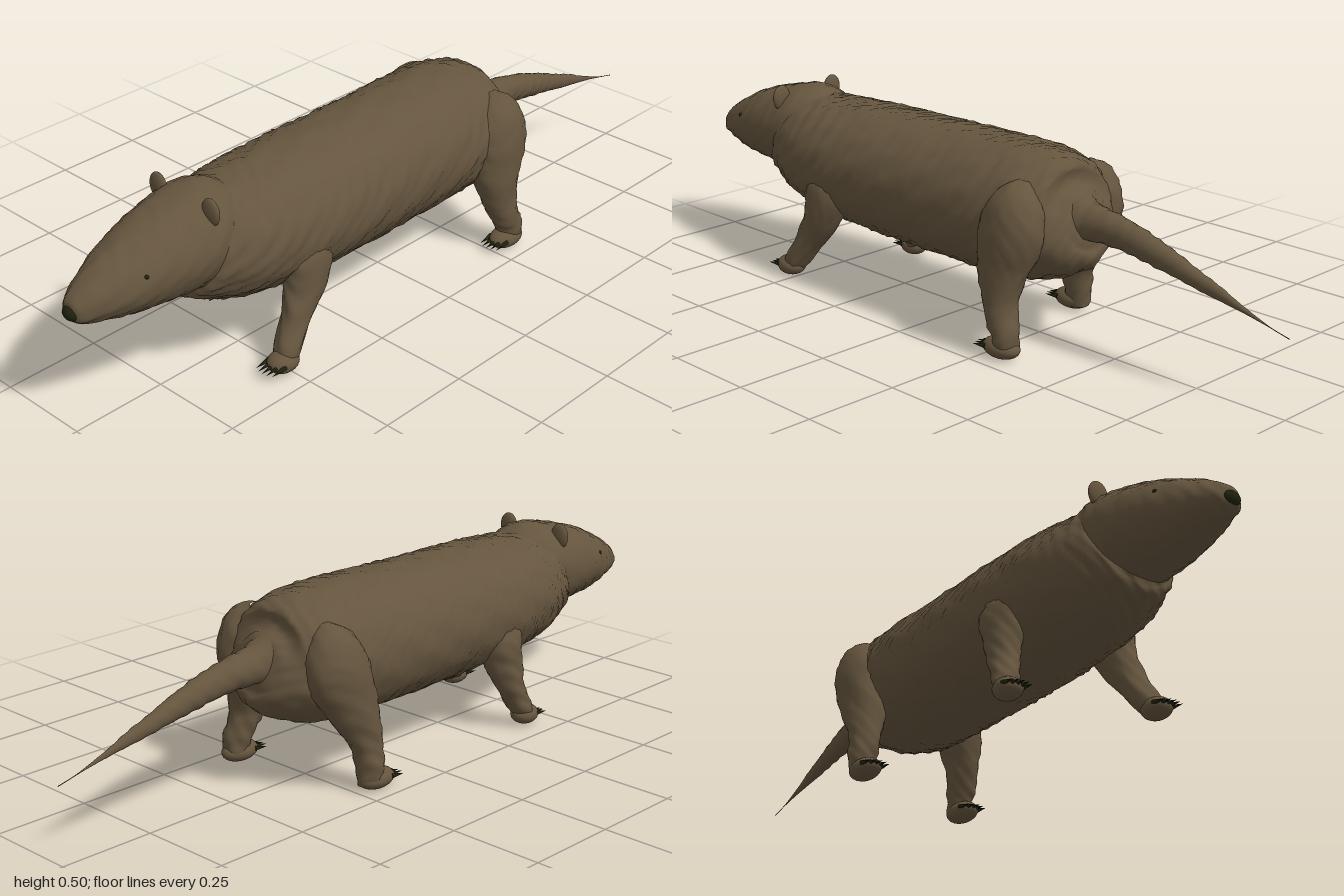
import * as THREE from 'three';

const fur = new THREE.MeshStandardMaterial({ color: 0x65553e });
fur.name = 'brown fur';
const horn = new THREE.MeshStandardMaterial({ color: 0x20220e });
horn.name = 'dark horn';

// Shaggy ripple, a smooth function of position
const ripple = (p) =>
  Math.sin(p.x * 71 + Math.sin(p.z * 47) * 2) * Math.sin(p.z * 83 + p.y * 59) * 0.6 +
  Math.sin(p.x * 133 + p.y * 151 + p.z * 117) * 0.4;

// Closed skin through elliptical rings [x, y, z, half width, half depth]
function loft(name, rings, steps, sides, rough) {
  const path = new THREE.CatmullRomCurve3(rings.map((r) => new THREE.Vector3(r[0], r[1], r[2])), false, 'catmullrom');
  const size = new THREE.CatmullRomCurve3(rings.map((r) => new THREE.Vector3(r[3], r[4], 0)), false, 'catmullrom');
  const pos = [], index = [];
  for (let i = 0; i <= steps; i++) {
    const t = i / steps;
    const c = path.getPoint(t), s = size.getPoint(t), dir = path.getTangent(t);
    const side = new THREE.Vector3(1, 0, 0).addScaledVector(dir, -dir.x).normalize();
    const up = new THREE.Vector3().crossVectors(dir, side);
    for (let j = 0; j < sides; j++) {
      const a = (j / sides) * Math.PI * 2;
      const out = side.clone().multiplyScalar(Math.cos(a) * Math.max(s.x, 0.001))
        .addScaledVector(up, Math.sin(a) * Math.max(s.y, 0.001));
      const p = c.clone().add(out);
      const bump = rough * ripple(p) * Math.min(1, out.length() / 0.03);
      p.addScaledVector(out.normalize(), bump);
      pos.push(p.x, p.y, p.z);
      if (i < steps) {
        const k = (j + 1) % sides, b = i * sides;
        index.push(b + j, b + k, b + sides + j, b + k, b + sides + k, b + sides + j);
      }
    }
  }
  const g = new THREE.BufferGeometry();
  g.setAttribute('position', new THREE.Float32BufferAttribute(pos, 3));
  g.setIndex(index);
  g.computeVertexNormals();
  const m = new THREE.Mesh(g, fur);
  m.name = name;
  return m;
}

function ellipsoid(name, mat, x, y, z, rx, ry, rz) {
  const m = new THREE.Mesh(new THREE.SphereGeometry(1, 24, 16), mat);
  m.name = name;
  m.position.set(x, y, z);
  m.scale.set(rx, ry, rz);
  return m;
}

// Leg skin, paw and five claws; the paw centre is [x, y, z]
function leg(name, rings, paw, halfLength) {
  const g = new THREE.Group();
  g.name = name;
  const [x, y, z] = paw;
  g.add(loft(name + 'Skin', rings, 36, 24, 0.004));
  g.add(ellipsoid(name + 'Paw', fur, x, y, z, 0.036, 0.027, halfLength));
  for (let i = -2; i <= 2; i++) {
    const claw = new THREE.Mesh(new THREE.ConeGeometry(0.007, 0.045, 8), horn);
    claw.name = name + 'Claw';
    claw.position.set(x + i * 0.0135, y, z + halfLength * (1 - 0.05 * i * i) + 0.006);
    claw.rotation.x = Math.PI / 2 + 0.12;
    g.add(claw);
  }
  return g;
}

export function createModel() {
  const model = new THREE.Group();
  model.name = 'animal';

  // Barrel body, from rump to chest
  model.add(loft('body', [
    [0, 0.34, -0.415, 0.001, 0.001],
    [0, 0.335, -0.4, 0.075, 0.07],
    [0, 0.325, -0.365, 0.135, 0.13],
    [0, 0.325, -0.29, 0.175, 0.163],
    [0, 0.323, -0.18, 0.184, 0.174],
    [0, 0.32, 0.02, 0.185, 0.173],
    [0, 0.32, 0.22, 0.187, 0.17],
    [0, 0.323, 0.4, 0.183, 0.164],
    [0, 0.33, 0.53, 0.168, 0.152],
    [0, 0.345, 0.61, 0.142, 0.138],
    [0, 0.355, 0.645, 0.115, 0.118],
    [0, 0.36, 0.65, 0.001, 0.001],
  ], 110, 64, 0.005));

  // Head tapering to the snout
  model.add(loft('head', [
    [0, 0.375, 0.52, 0.09, 0.09],
    [0, 0.377, 0.59, 0.122, 0.122],
    [0, 0.37, 0.66, 0.127, 0.12],
    [0, 0.362, 0.74, 0.118, 0.108],
    [0, 0.35, 0.82, 0.1, 0.092],
    [0, 0.337, 0.9, 0.073, 0.067],
    [0, 0.325, 0.96, 0.045, 0.042],
    [0, 0.32, 0.985, 0.027, 0.025],
    [0, 0.32, 0.992, 0.001, 0.001],
  ], 70, 48, 0.003));
  model.add(ellipsoid('nose', horn, 0, 0.321, 0.985, 0.024, 0.018, 0.015));

  for (const s of [1, -1]) {
    model.add(ellipsoid(s > 0 ? 'leftEar' : 'rightEar', fur, s * 0.09, 0.468, 0.643, 0.028, 0.035, 0.012));
    model.add(ellipsoid(s > 0 ? 'leftEye' : 'rightEye', horn, s * 0.087, 0.383, 0.835, 0.005, 0.005, 0.005));
  }

  // Tapering tail
  model.add(loft('tail', [
    [0, 0.338, -0.36, 0.075, 0.075],
    [0, 0.336, -0.42, 0.046, 0.048],
    [0, 0.33, -0.5, 0.036, 0.04],
    [0, 0.31, -0.6, 0.029, 0.034],
    [0, 0.283, -0.7, 0.021, 0.025],
    [0, 0.255, -0.8, 0.012, 0.016],
    [0, 0.232, -0.88, 0.005, 0.006],
    [0, 0.212, -0.95, 0.001, 0.001],
    [0, 0.2, -1, 0.001, 0.001],
  ], 70, 24, 0.003));

  // Front legs, the left one stepping ahead
  model.add(leg('leftFrontLeg', [
    [0.11, 0.34, 0.37, 0.02, 0.03],
    [0.135, 0.27, 0.39, 0.052, 0.068],
    [0.147, 0.19, 0.415, 0.045, 0.055],
    [0.158, 0.12, 0.455, 0.036, 0.037],
    [0.17, 0.06, 0.495, 0.034, 0.03],
    [0.175, 0.035, 0.52, 0.025, 0.02],
  ], [0.175, 0.038, 0.515], 0.043));
  model.add(leg('rightFrontLeg', [
    [-0.11, 0.34, 0.33, 0.02, 0.03],
    [-0.135, 0.27, 0.335, 0.052, 0.068],
    [-0.148, 0.19, 0.345, 0.045, 0.055],
    [-0.16, 0.12, 0.365, 0.036, 0.037],
    [-0.172, 0.06, 0.39, 0.034, 0.03],
    [-0.177, 0.035, 0.405, 0.025, 0.02],
  ], [-0.177, 0.038, 0.402], 0.04));

  // Hind legs with heavy haunches, the right one stepping ahead
  model.add(leg('leftHindLeg', [
    [0.11, 0.435, -0.3, 0.015, 0.02],
    [0.135, 0.39, -0.3, 0.06, 0.068],
    [0.15, 0.32, -0.295, 0.068, 0.088],
    [0.163, 0.23, -0.28, 0.056, 0.072],
    [0.177, 0.14, -0.285, 0.041, 0.046],
    [0.186, 0.07, -0.31, 0.036, 0.036],
    [0.187, 0.02, -0.32, 0.026, 0.028],
  ], [0.188, 0.033, -0.3], 0.054));
  model.add(leg('rightHindLeg', [
    [-0.11, 0.435, -0.29, 0.015, 0.02],
    [-0.135, 0.39, -0.29, 0.06, 0.068],
    [-0.15, 0.32, -0.28, 0.068, 0.088],
    [-0.163, 0.23, -0.245, 0.056, 0.072],
    [-0.178, 0.14, -0.215, 0.041, 0.046],
    [-0.188, 0.07, -0.21, 0.036, 0.036],
    [-0.189, 0.02, -0.213, 0.026, 0.028],
  ], [-0.19, 0.033, -0.19], 0.054));

  return model;
}
